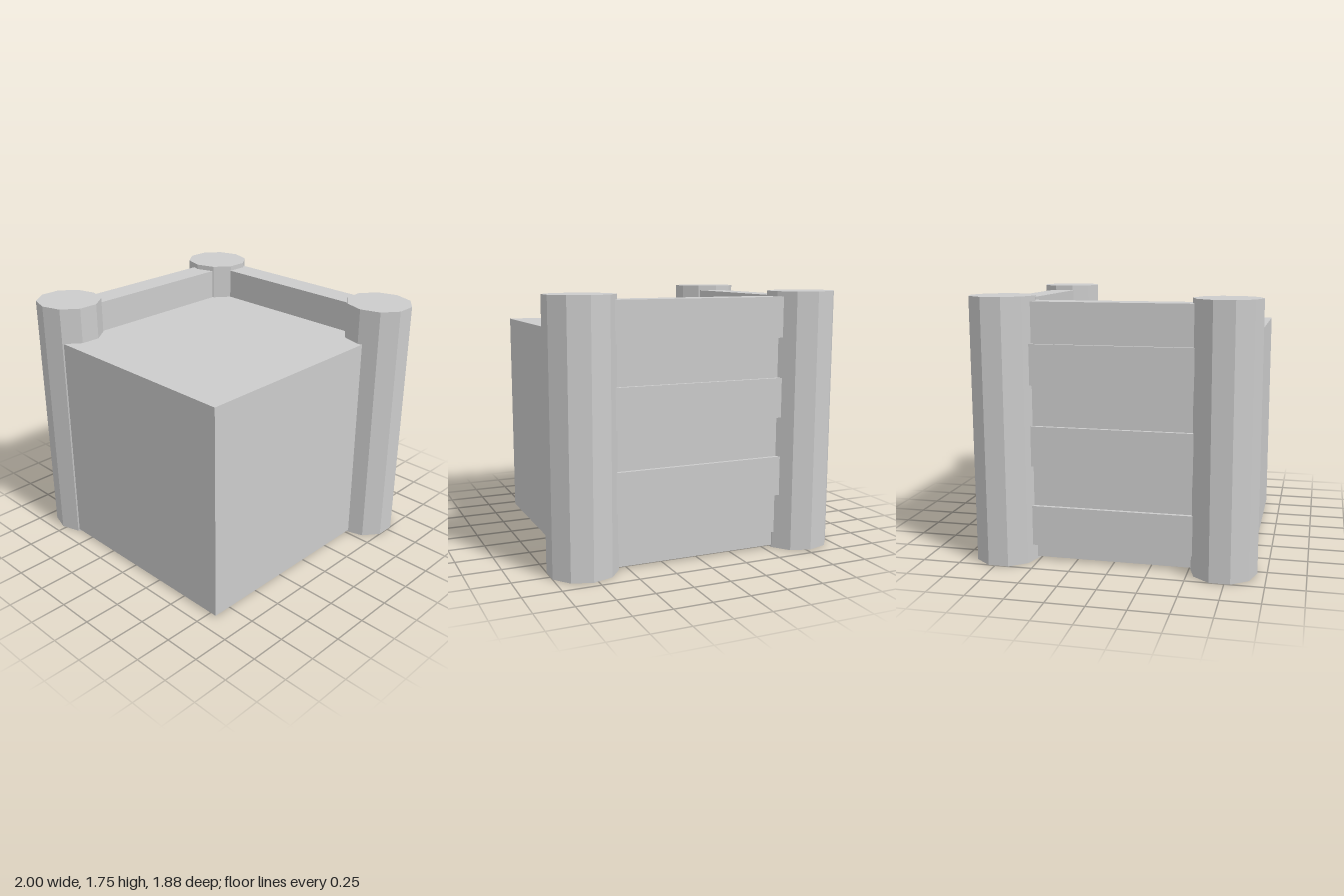
import * as THREE from 'three';

const material = new THREE.MeshStandardMaterial({ color: 0xcccccc, flatShading: true });

// Box given by its minimum and maximum corners
function block(name, min, max) {
  const size = max.map((v, i) => v - min[i]);
  const mesh = new THREE.Mesh(new THREE.BoxGeometry(...size), material);
  mesh.name = name;
  mesh.position.set(...min.map((v, i) => (v + max[i]) / 2));
  return mesh;
}

export function createModel() {
  const model = new THREE.Group();
  model.name = 'postedBlock';

  // Solid core block
  model.add(block('core', [-0.81, 0.015, -0.79], [0.81, 1.5, 0.89]));

  // Ten-sided corner posts, slightly wider in x than in z
  const height = 1.745;
  const postGeometry = new THREE.CylinderGeometry(1, 1, height, 10);
  postGeometry.scale(0.231, 1, 0.2175);
  const posts = { backRightPost: [-0.78, -0.727], backLeftPost: [0.78, -0.727], frontRightPost: [-0.78, 0.722] };
  for (const [name, [x, z]] of Object.entries(posts)) {
    const post = new THREE.Mesh(postGeometry, material);
    post.name = name;
    post.position.set(x, height / 2, z);
    model.add(post);
  }

  // Stacked planks on two sides: every other one stands proud, staggered between the walls
  const count = 6, bottom = 0.11, top = 1.71;
  const step = (top - bottom) / count;
  const backWall = new THREE.Group();
  backWall.name = 'backWall';
  const sideWall = new THREE.Group();
  sideWall.name = 'sideWall';
  for (let i = 0; i < count; i++) {
    const y0 = bottom + i * step, y1 = y0 + step;
    const backZ = i % 2 ? -0.83 : -0.805;
    const sideX = i % 2 ? -0.835 : -0.86;
    backWall.add(block('backPlank', [-0.75, y0, backZ], [0.75, y1, -0.655]));
    sideWall.add(block('sidePlank', [sideX, y0, -0.7], [-0.655, y1, 0.7]));
  }
  model.add(backWall, sideWall);

  return model;
}
